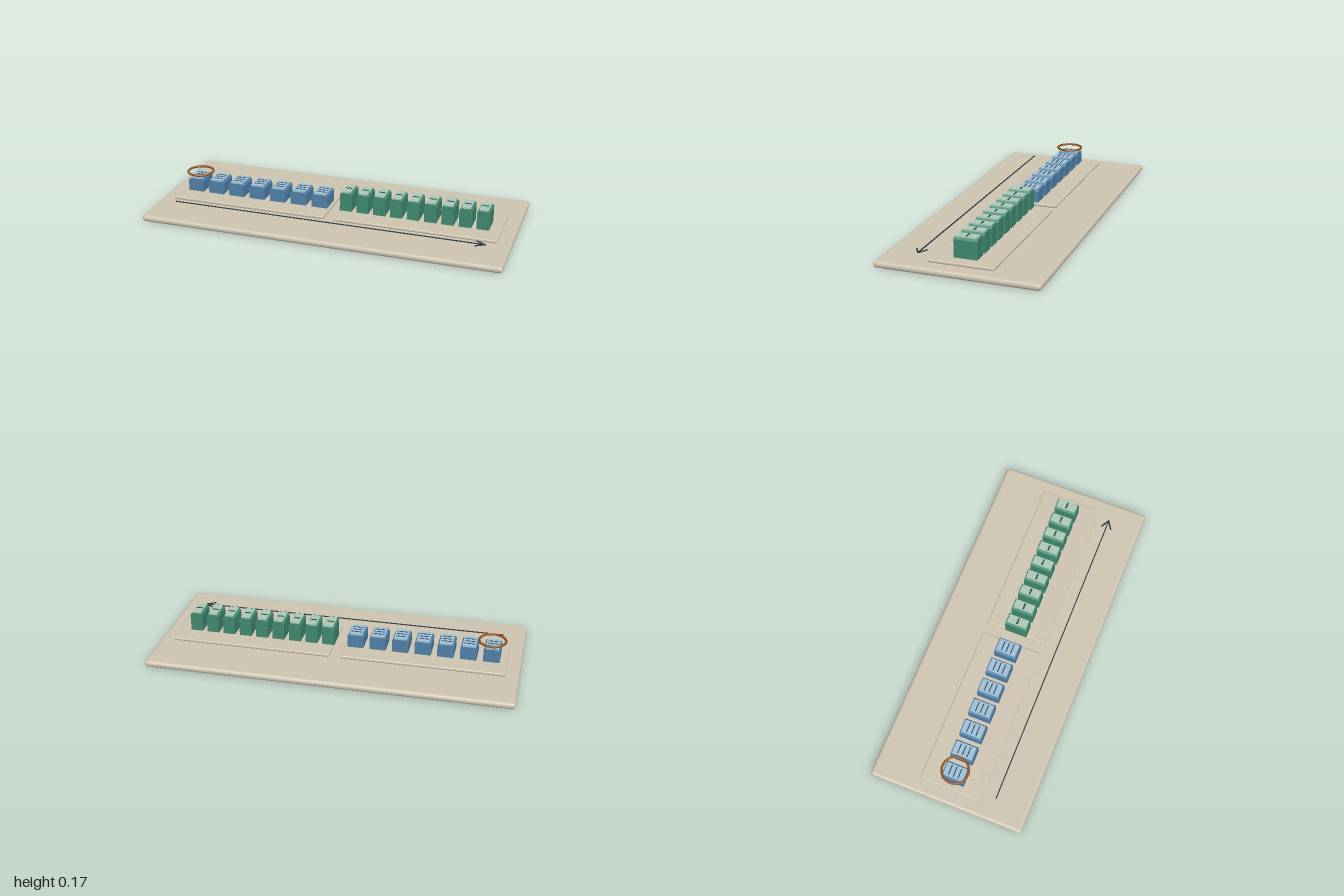
import * as THREE from 'three';
import { RoundedBoxGeometry } from 'three/addons/geometries/RoundedBoxGeometry.js';

const mat = (name, color) => {
  const m = new THREE.MeshStandardMaterial({ color });
  m.name = name;
  return m;
};

export function createModel() {
  const sand = mat('sand', 0xcec3b0);
  const blue = mat('blue', 0x4f80a8);
  const paleBlue = mat('pale blue', 0xa0bfd4);
  const navy = mat('navy', 0x294a66);
  const green = mat('green', 0x3f8a70);
  const paleGreen = mat('pale green', 0xabc8b6);
  const deepGreen = mat('deep green', 0x1f4f40);
  const copper = mat('copper', 0x95561f);
  const slate = mat('slate', 0x2f3a42);

  const model = new THREE.Group();
  model.name = 'sequenceBoard';
  const add = (parent, name, geometry, material, x, y, z) => {
    const mesh = new THREE.Mesh(geometry, material);
    mesh.name = name;
    mesh.position.set(x, y, z);
    parent.add(mesh);
    return mesh;
  };

  // Base board and the two raised trays
  add(model, 'baseBoard', new RoundedBoxGeometry(2, 0.036, 0.87, 4, 0.017), sand, 0, 0.018, 0);
  for (const side of [-1, 1]) {
    add(model, 'tray', new RoundedBoxGeometry(0.893, 0.017, 0.348, 3, 0.007), sand, side * 0.477, 0.0445, 0);
  }

  // Block body: front profile with chamfered top corners, extruded in depth
  const bodyGeometry = (w, h, depth) => {
    const c = 0.01, a = w / 2;
    const profile = new THREE.Shape([
      [-a, 0], [a, 0], [a, h - c], [a - c, h], [c - a, h], [-a, h - c],
    ].map(([x, y]) => new THREE.Vector2(x, y)));
    return new THREE.ExtrudeGeometry(profile, { depth, bevelEnabled: false }).translate(0, 0, -depth / 2);
  };

  // Row of blocks with pale lids and dark marks on top
  const row = (name, o) => {
    const body = bodyGeometry(o.width, o.height, 0.126);
    const lid = new THREE.BoxGeometry(o.width - 0.018, 0.007, 0.112);
    const mark = new THREE.BoxGeometry(o.markWidth, 0.002, o.markDepth);
    for (let i = 0; i < o.count; i++) {
      const block = new THREE.Group();
      block.name = name;
      block.position.set(o.start + i * o.step, 0.052, 0);
      add(block, 'body', body, o.bodyMat, 0, 0, 0);
      add(block, 'lid', lid, o.lidMat, 0, o.height + 0.0035, 0);
      for (const z of o.marks) add(block, 'mark', mark, o.markMat, 0, o.height + 0.0075, z);
      model.add(block);
    }
  };
  row('lowBlock', {
    count: 7, start: -0.84, step: 0.1246, width: 0.09, height: 0.074,
    markWidth: 0.056, markDepth: 0.006, marks: [-0.027, 0, 0.027],
    bodyMat: blue, lidMat: paleBlue, markMat: navy,
  });
  row('tallBlock', {
    count: 9, start: 0.061, step: 0.0955, width: 0.068, height: 0.106,
    markWidth: 0.036, markDepth: 0.009, marks: [0],
    bodyMat: green, lidMat: paleGreen, markMat: deepGreen,
  });

  // Marker ring hovering over the first block
  const ring = add(model, 'markerRing', new THREE.TorusGeometry(0.072, 0.0065, 10, 48), copper, -0.836, 0.152, 0);
  ring.rotation.x = Math.PI / 2;

  // Direction arrow along the front
  const arrow = new THREE.Group();
  arrow.name = 'directionArrow';
  arrow.position.set(0, 0.0595, 0.247);
  add(arrow, 'shaft', new THREE.BoxGeometry(1.755, 0.004, 0.006), slate, -0.0025, 0, 0);
  for (const side of [-1, 1]) {
    const barb = add(arrow, 'barb', new THREE.BoxGeometry(0.06, 0.004, 0.008), slate, 0.851, 0, side * 0.014);
    barb.rotation.y = side * 0.53;
  }
  model.add(arrow);

  return model;
}
